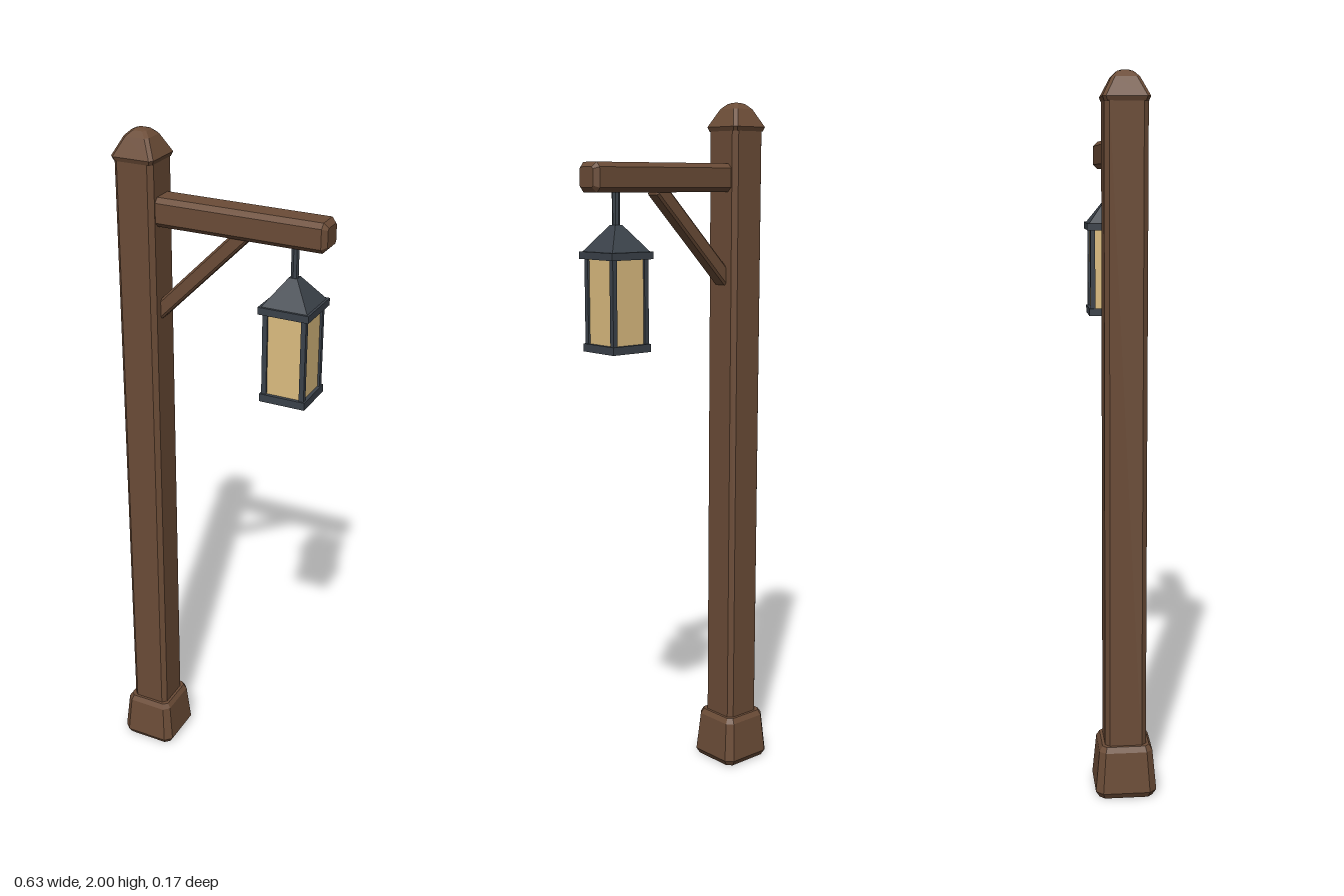
import * as THREE from 'three';

const POST_X = -0.23, LAMP_X = 0.215;

const mat = (color) => new THREE.MeshStandardMaterial({ color, flatShading: true });

// Skin stacked chamfered rectangles; each ring is [y, half x, half z, chamfer]
function loft(rings) {
  const loops = rings.map(([y, a, b, c]) => [
    [a, b - c], [a - c, b], [c - a, b], [-a, b - c],
    [-a, c - b], [c - a, -b], [a - c, -b], [a, c - b],
  ].map(([x, z]) => [x, y, z]));
  const pos = [];
  const tri = (...pts) => pts.forEach((p) => pos.push(...p));
  for (let r = 0; r < loops.length - 1; r++) {
    const lo = loops[r], up = loops[r + 1];
    for (let i = 0; i < 8; i++) {
      const j = (i + 1) % 8;
      tri(lo[i], up[i], up[j]);
      tri(lo[i], up[j], lo[j]);
    }
  }
  const first = loops[0], last = loops[loops.length - 1];
  for (let i = 1; i < 7; i++) {
    tri(first[0], first[i], first[i + 1]);
    tri(last[0], last[i + 1], last[i]);
  }
  const geo = new THREE.BufferGeometry();
  geo.setAttribute('position', new THREE.Float32BufferAttribute(pos, 3));
  geo.computeVertexNormals();
  return geo;
}

// Bar along y with bevelled long edges and ends
function bevelBar(length, hx, hz, c) {
  const h = length / 2;
  return loft([
    [-h, hx - c, hz - c, c * 0.4], [c - h, hx, hz, c],
    [h - c, hx, hz, c], [h, hx - c, hz - c, c * 0.4],
  ]);
}

export function createModel() {
  const model = new THREE.Group();
  const wood = mat(0x6b4c37), metal = mat(0x3b424a), glass = mat(0xdcbd80);

  function add(parent, name, geo, material, x = 0, y = 0, z = 0) {
    const mesh = new THREE.Mesh(geo, material);
    mesh.name = name;
    mesh.position.set(x, y, z);
    parent.add(mesh);
    return mesh;
  }

  // Post with tapered foot and faceted cap
  add(model, 'foot', loft([
    [0, 0.075, 0.075, 0.014], [0.018, 0.086, 0.086, 0.02],
    [0.135, 0.075, 0.075, 0.017], [0.15, 0.066, 0.066, 0.012],
  ]), wood, POST_X);
  add(model, 'post', loft([
    [0.12, 0.058, 0.058, 0.013], [1.93, 0.058, 0.058, 0.013],
  ]), wood, POST_X);
  add(model, 'postCap', loft([
    [1.92, 0.058, 0.058, 0.008], [1.932, 0.063, 0.063, 0.009],
    [1.982, 0.037, 0.037, 0.009], [1.996, 0.022, 0.022, 0.008], [2, 0.01, 0.01, 0.004],
  ]), wood, POST_X);

  // Horizontal arm
  const arm = add(model, 'arm', bevelBar(0.514, 0.04, 0.042, 0.013), wood, 0.057, 1.79);
  arm.rotation.z = -Math.PI / 2;

  // Diagonal brace between post and arm
  const from = new THREE.Vector2(-0.19, 1.494), to = new THREE.Vector2(0.075, 1.762);
  const span = to.clone().sub(from);
  const mid = from.clone().add(to).multiplyScalar(0.5);
  const brace = add(model, 'brace', bevelBar(span.length(), 0.021, 0.024, 0.006), wood, mid.x, mid.y);
  brace.rotation.z = span.angle() - Math.PI / 2;

  // Hanging lantern
  const lantern = new THREE.Group();
  lantern.name = 'lantern';
  lantern.position.x = LAMP_X;
  model.add(lantern);
  add(lantern, 'hanger', new THREE.CylinderGeometry(0.011, 0.011, 0.12, 8), metal, 0, 1.7);
  add(lantern, 'eave', new THREE.BoxGeometry(0.144, 0.02, 0.144), metal, 0, 1.583);
  const roof = new THREE.CylinderGeometry(0.012 * Math.SQRT2, 0.066 * Math.SQRT2, 0.072, 4);
  roof.rotateY(Math.PI / 4);
  add(lantern, 'roof', roof, metal, 0, 1.628);
  add(lantern, 'lampBase', new THREE.BoxGeometry(0.132, 0.022, 0.132), metal, 0, 1.331);
  add(lantern, 'glass', new THREE.BoxGeometry(0.112, 0.236, 0.112), glass, 0, 1.458);
  for (const sx of [-1, 1]) {
    for (const sz of [-1, 1]) {
      add(lantern, 'cornerBar', new THREE.BoxGeometry(0.014, 0.236, 0.014), metal,
        sx * 0.055, 1.458, sz * 0.055);
    }
  }
  return model;
}
